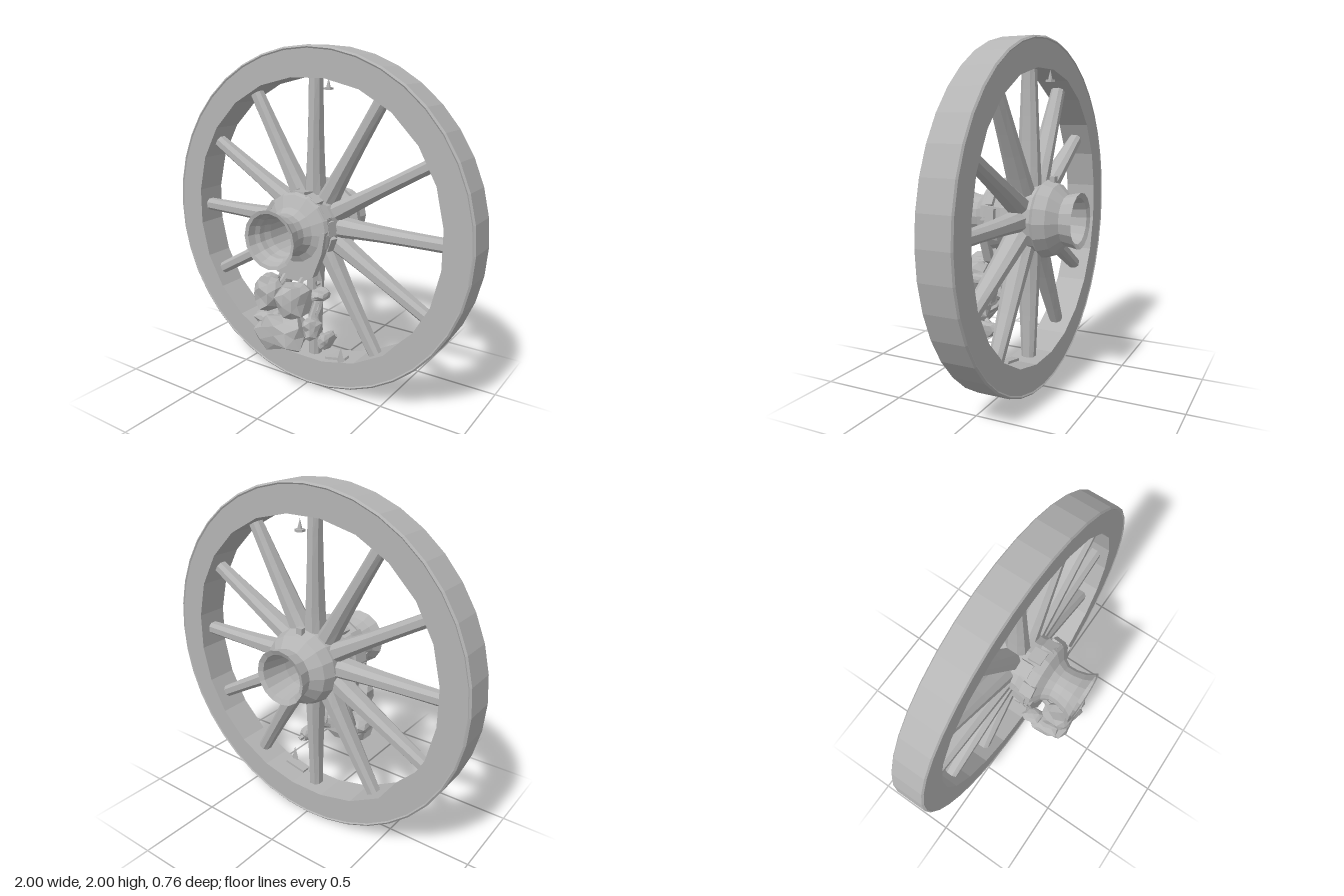
import * as THREE from 'three';

export function createModel() {
  const wheel = new THREE.Group();
  wheel.name = 'wheel';
  const grey = new THREE.MeshStandardMaterial({ color: 0xb4b4b4, flatShading: true, side: THREE.DoubleSide });
  grey.name = 'weathered grey';

  const add = (name, geo, x = 0, y = 1, z = 0) => {
    const m = new THREE.Mesh(geo, grey);
    m.name = name;
    m.position.set(x, y, z);
    wheel.add(m);
    return m;
  };
  let seed = 7;
  const rnd = () => (seed = (seed * 16807) % 2147483647) / 2147483647;
  const V = (x, y) => new THREE.Vector2(x, y);

  // Rim: round outside, faceted inside with flats at the spokes
  const ring = new THREE.Shape();
  ring.absarc(0, 0, 0.99, 0, Math.PI * 2);
  const hole = [];
  for (let i = 0; i < 24; i++) {
    const a = ((i + 0.5) / 24) * Math.PI * 2;
    const r = 0.83 + 0.015 * Math.abs(Math.sin(2 * a));
    hole.push(V(r * Math.cos(a), r * Math.sin(a)));
  }
  ring.holes.push(new THREE.Path(hole));
  add('rim', new THREE.ExtrudeGeometry(ring, { depth: 0.19, bevelEnabled: false, curveSegments: 40 }), 0, 1, -0.175);

  // Iron tyre around the rim
  const tyre = new THREE.LatheGeometry([
    V(0.975, -0.17), V(0.99, -0.18), V(1, -0.172), V(1, 0.012), V(0.99, 0.02), V(0.975, 0.01),
  ], 40).rotateX(Math.PI / 2);
  add('tyre', tyre);

  // Hub: turned barrel with an open bore
  const hub = new THREE.LatheGeometry([
    V(0.105, -0.22), V(0.13, -0.375), V(0.158, -0.388), V(0.142, -0.31), V(0.2, -0.255), V(0.222, -0.19),
    V(0.19, -0.16), V(0.185, 0.02), V(0.2, 0.06), V(0.215, 0.11), V(0.205, 0.135), V(0.14, 0.17),
    V(0.115, 0.21), V(0.118, 0.3), V(0.165, 0.37), V(0.145, 0.365), V(0.105, 0.22), V(0.105, -0.22),
  ], 16).rotateX(Math.PI / 2);
  add('hub', hub);

  // Broken collar around the front of the hub
  for (let i = 0; i < 9; i++) {
    const a = -0.35 + (i / 8) * (Math.PI + 0.7);
    const chip = new THREE.BoxGeometry(0.08, 0.025, 0.05 + 0.04 * rnd());
    chip.rotateX(0.4 * (rnd() - 0.5)).translate(0, 0.2, 0).rotateZ(a - Math.PI / 2);
    add('collarChip', chip, 0, 1, 0.03 + 0.08 * rnd());
  }

  // Spokes: chamfered bars, thick at the hub and flaring a little at the rim
  for (let i = 0; i < 12; i++) {
    const g = new THREE.CylinderGeometry(1, 1, 0.7, 8, 5);
    g.rotateY(Math.PI / 8);
    const p = g.attributes.position;
    const square = (v) => Math.max(-1, Math.min(1, v * 1.25));
    for (let k = 0; k < p.count; k++) {
      const t = p.getY(k) / 0.7 + 0.5;
      const w = 0.036 + 0.02 * (1 - t) ** 3;
      const d = 0.038 + 0.03 * (1 - t);
      p.setXYZ(k, square(p.getX(k)) * w, p.getY(k) + 0.505, square(p.getZ(k)) * d);
    }
    g.rotateZ((i * Math.PI) / 6);
    add('spoke', g, 0, 1, -0.075);
  }

  // Drooping lip below the hub
  const lip = new THREE.Shape([
    V(-0.21, 0.02), V(-0.19, -0.1), V(-0.13, -0.25), V(-0.05, -0.29), V(0.05, -0.29), V(0.13, -0.25),
    V(0.19, -0.1), V(0.21, 0.02), V(0.13, 0), V(0.1, -0.1), V(0, -0.14), V(-0.1, -0.1), V(-0.13, 0),
  ]);
  add('hubLip', new THREE.ExtrudeGeometry(lip, { depth: 0.05, bevelEnabled: false }), 0, 1, 0.1);

  // Ragged lumps hanging under the hub: x, y, z and half sizes
  const lump = (name, x, y, z, sx, sy, sz) => {
    const g = new THREE.IcosahedronGeometry(1, 1);
    const p = g.attributes.position;
    const moved = new Map();
    for (let k = 0; k < p.count; k++) {
      const key = [p.getX(k), p.getY(k), p.getZ(k)].map((v) => Math.round(v * 100)).join();
      if (!moved.has(key)) moved.set(key, 0.85 + 0.35 * rnd());
      const f = moved.get(key);
      const box = (v) => Math.max(-1, Math.min(1, v * 1.3)) * f;
      p.setXYZ(k, box(p.getX(k)) * sx, box(p.getY(k)) * sy, box(p.getZ(k)) * sz);
    }
    add(name, g, x, y, z);
  };
  lump('upperLump', -0.08, 0.65, 0.27, 0.07, 0.08, 0.08);
  lump('upperLump', 0.08, 0.64, 0.26, 0.07, 0.09, 0.09);
  lump('lowerLump', 0.0, 0.44, 0.26, 0.13, 0.09, 0.09);
  lump('sideLump', -0.12, 0.49, 0.22, 0.06, 0.04, 0.08);
  lump('sideLump', 0.14, 0.46, 0.18, 0.05, 0.05, 0.06);
  lump('middleLump', 0.0, 0.57, 0.2, 0.05, 0.09, 0.05);
  lump('looseScrap', 0.19, 0.37, 0.09, 0.03, 0.04, 0.06);
  lump('looseScrap', 0.17, 0.66, 0.14, 0.045, 0.025, 0.06);
  lump('looseScrap', -0.17, 0.68, 0.14, 0.045, 0.025, 0.05);

  // Torn strands linking the lumps to the hub and the wheel
  const strand = (...pts) => {
    const c = new THREE.CatmullRomCurve3(pts.map((q) => new THREE.Vector3(...q)));
    add('strand', new THREE.TubeGeometry(c, 6, 0.016, 5), 0, 0, 0);
  };
  for (const s of [-1, 1]) {
    strand([s * 0.1, 0.82, 0.1], [s * 0.12, 0.72, 0.06], [s * 0.13, 0.6, 0.1], [s * 0.12, 0.48, 0.16]);
    strand([s * 0.06, 0.74, 0.13], [s * 0.06, 0.7, 0.18], [s * 0.07, 0.66, 0.25]);
    strand([s * 0.12, 0.7, 0.08], [s * 0.11, 0.6, 0.03], [s * 0.1, 0.5, 0.06], [s * 0.08, 0.42, 0.18]);
  }
  strand([0.1, 0.42, 0.18], [0.17, 0.39, 0.09], [0.2, 0.36, 0.01]);

  // Small loose shards and a peg
  add('shard', new THREE.ConeGeometry(0.025, 0.09, 4), 0.23, 0.25, 0.0);
  add('shard', new THREE.BoxGeometry(0.14, 0.015, 0.05).rotateZ(0.2), 0.18, 0.2, -0.04);
  add('peg', new THREE.ConeGeometry(0.015, 0.06, 6), 0, 1.79, -0.2);
  add('pegFoot', new THREE.CylinderGeometry(0.028, 0.028, 0.012, 6), 0, 1.76, -0.2);
  add('hubPin', new THREE.BoxGeometry(0.04, 0.04, 0.03), -0.01, 1.22, -0.22);

  return wheel;
}
